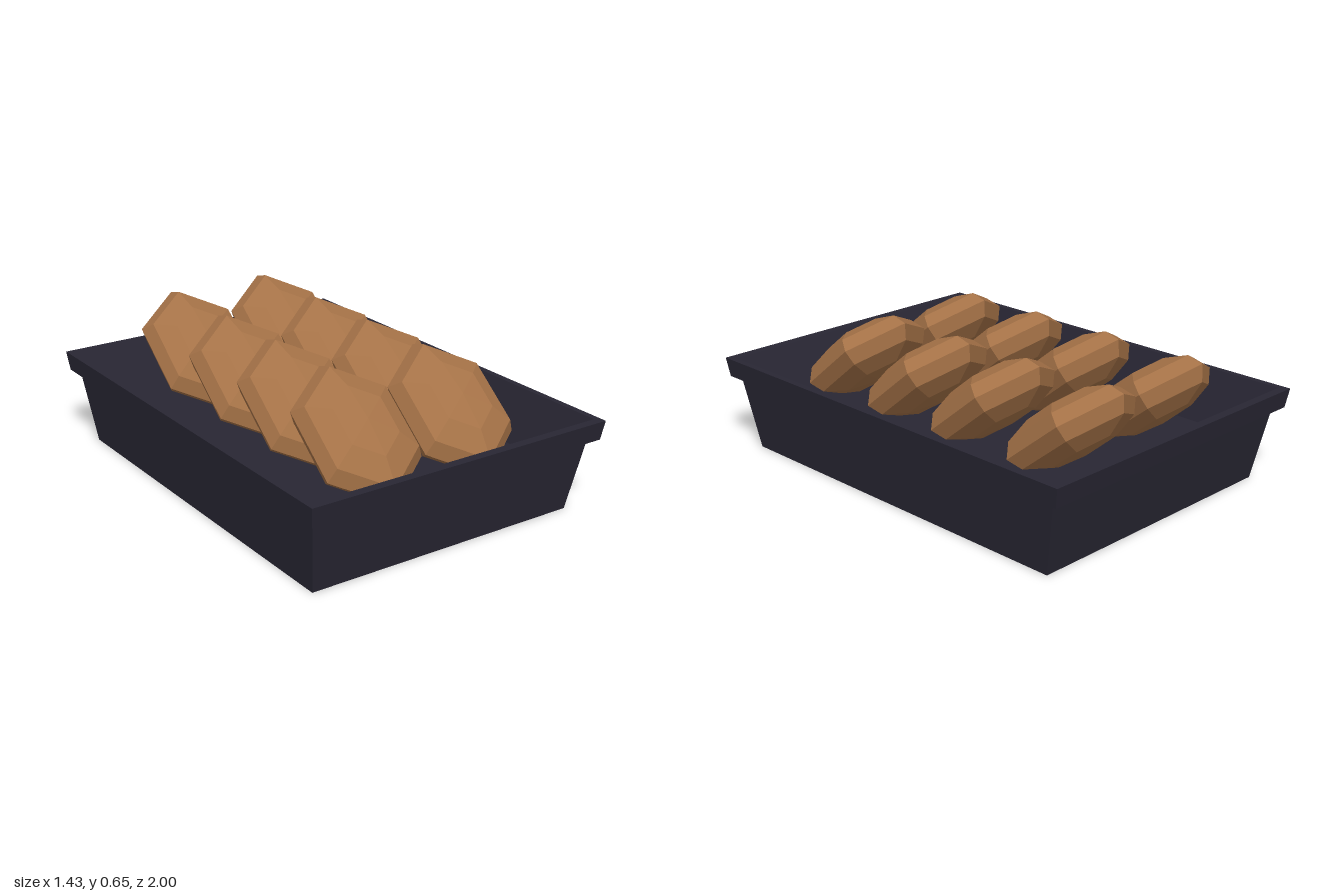
import * as THREE from 'three';

// Skin a stack of rectangular sections [halfX, halfZ, y], listed from the outside bottom upwards
function loftRects(sections, capStart, capEnd) {
  const pos = [], idx = [];
  for (const [x, z, y] of sections) pos.push(-x, y, z, x, y, z, x, y, -z, -x, y, -z);
  for (let s = 0; s < sections.length - 1; s++) {
    for (let i = 0; i < 4; i++) {
      const a = s * 4 + i, b = s * 4 + (i + 1) % 4;
      idx.push(a, b, b + 4, a, b + 4, a + 4);
    }
  }
  const e = (sections.length - 1) * 4;
  if (capStart) idx.push(0, 2, 1, 0, 3, 2);
  if (capEnd) idx.push(e, e + 1, e + 2, e, e + 2, e + 3);
  const geo = new THREE.BufferGeometry();
  geo.setAttribute('position', new THREE.Float32BufferAttribute(pos, 3));
  geo.setIndex(idx);
  const flat = geo.toNonIndexed();
  flat.computeVertexNormals();
  return flat;
}

export function createModel() {
  const model = new THREE.Group();
  const trayMat = new THREE.MeshStandardMaterial({ color: 0x282633, flatShading: true });
  const breadMat = new THREE.MeshStandardMaterial({ color: 0xa57247, flatShading: true });

  const add = (parent, name, geo, mat) => {
    const mesh = new THREE.Mesh(geo, mat);
    mesh.name = name;
    parent.add(mesh);
    return mesh;
  };

  // Tapered tray: outer body, overhanging rim, sunken interior
  const tray = new THREE.Group();
  tray.name = 'tray';
  model.add(tray);
  add(tray, 'trayBody', loftRects([[0.635, 0.88, 0], [0.677, 0.945, 0.33]], true, false), trayMat);
  add(tray, 'trayRim', loftRects([
    [0.677, 0.945, 0.33], [0.707, 0.985, 0.33], [0.717, 1, 0.415], [0.69, 0.96, 0.415],
  ], false, false), trayMat);
  add(tray, 'trayInterior', loftRects([[0.69, 0.96, 0.415], [0.6, 0.835, 0.19]], false, true), trayMat);

  // Flattened six-sided buns leaning back in two columns
  const bun = new THREE.SphereGeometry(1, 6, 6);
  bun.rotateY(Math.PI / 2);
  bun.scale(0.2625, 0.121, 0.331);
  bun.rotateX(THREE.MathUtils.degToRad(39));

  const buns = new THREE.Group();
  buns.name = 'buns';
  model.add(buns);
  for (const x of [-0.205, 0.27]) {
    for (const z of [0.558, 0.162, -0.232, -0.662]) {
      add(buns, 'bun', bun, breadMat).position.set(x, 0.423, z);
    }
  }
  return model;
}
